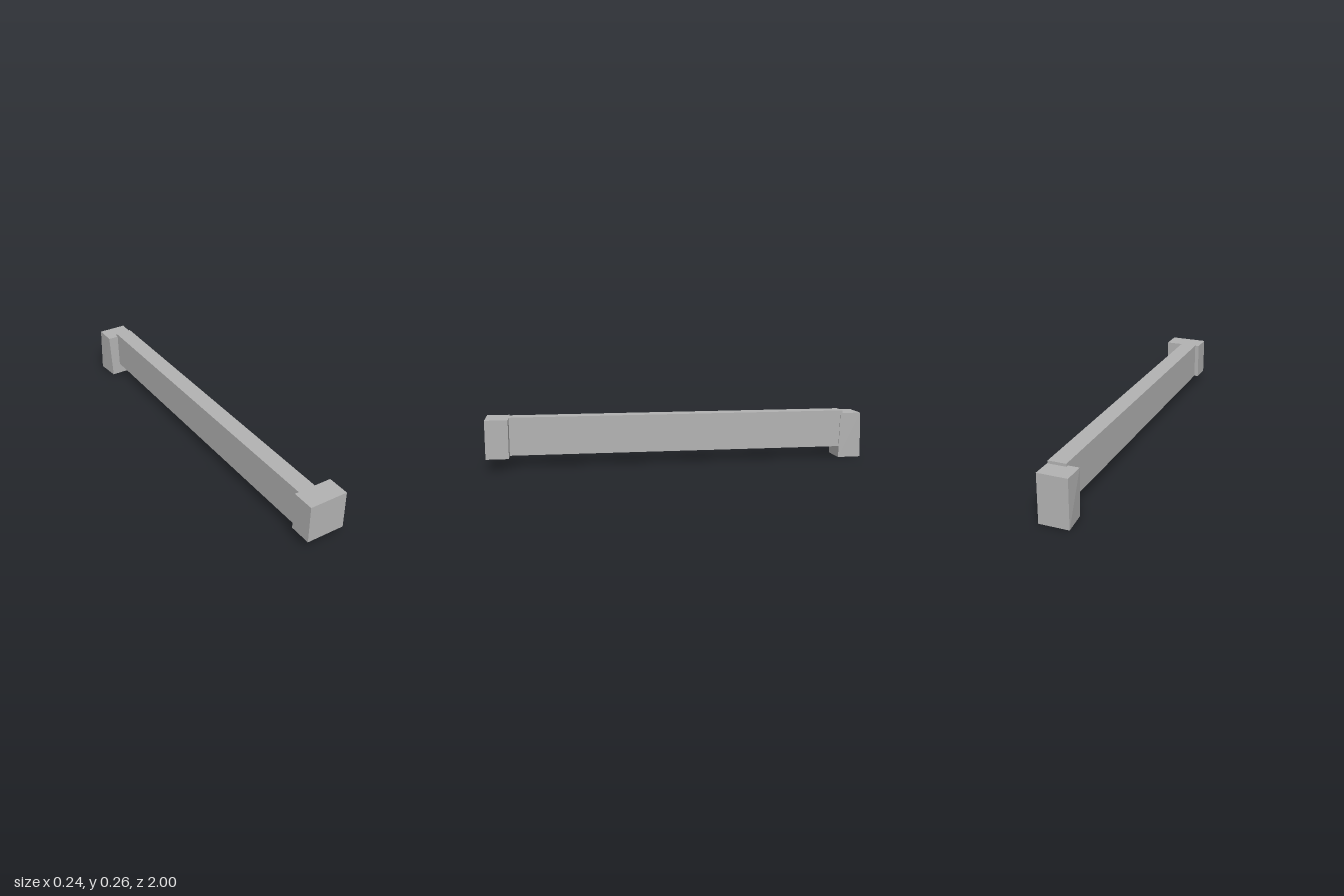
import * as THREE from 'three';

export function createModel() {
  const group = new THREE.Group();
  const grey = new THREE.MeshStandardMaterial({ color: 0xb2b2b2, flatShading: true });
  grey.name = 'grey';

  // Box given by its lower and upper limits on each axis
  function box(name, [x0, x1], [y0, y1], [z0, z1]) {
    const geometry = new THREE.BoxGeometry(x1 - x0, y1 - y0, z1 - z0);
    geometry.translate((x0 + x1) / 2, (y0 + y1) / 2, (z0 + z1) / 2);
    const mesh = new THREE.Mesh(geometry, grey);
    mesh.name = name;
    group.add(mesh);
    return mesh;
  }

  // Long beam in two stacked halves
  box('lowerBeam', [-0.06, 0.03], [0.06, 0.148], [-0.895, 0.885]);
  box('upperBeam', [-0.06, 0.03], [0.148, 0.257], [-0.895, 0.885]);

  // Square block at the front end
  box('frontBlock', [-0.082, 0.118], [0.06, 0.257], [0.885, 1]);

  // Slightly skewed block at the rear end: corners as [x, z]
  const rear = box('rearBlock', [-1, 1], [0, 0.243], [-1, 1]);
  const corners = {
    bottom: { frontLeft: [0.035, -0.875], frontRight: [-0.107, -0.873], backLeft: [0.032, -1], backRight: [-0.119, -1] },
    top: { frontLeft: [0.033, -0.882], frontRight: [-0.116, -0.88], backLeft: [0.035, -0.993], backRight: [-0.116, -0.993] },
  };
  const p = rear.geometry.attributes.position;
  for (let i = 0; i < p.count; i++) {
    const level = p.getY(i) > 0.1 ? 'top' : 'bottom';
    const corner = (p.getZ(i) > 0 ? 'front' : 'back') + (p.getX(i) > 0 ? 'Left' : 'Right');
    const [x, z] = corners[level][corner];
    p.setX(i, x);
    p.setZ(i, z);
  }
  rear.geometry.computeVertexNormals();

  return group;
}
